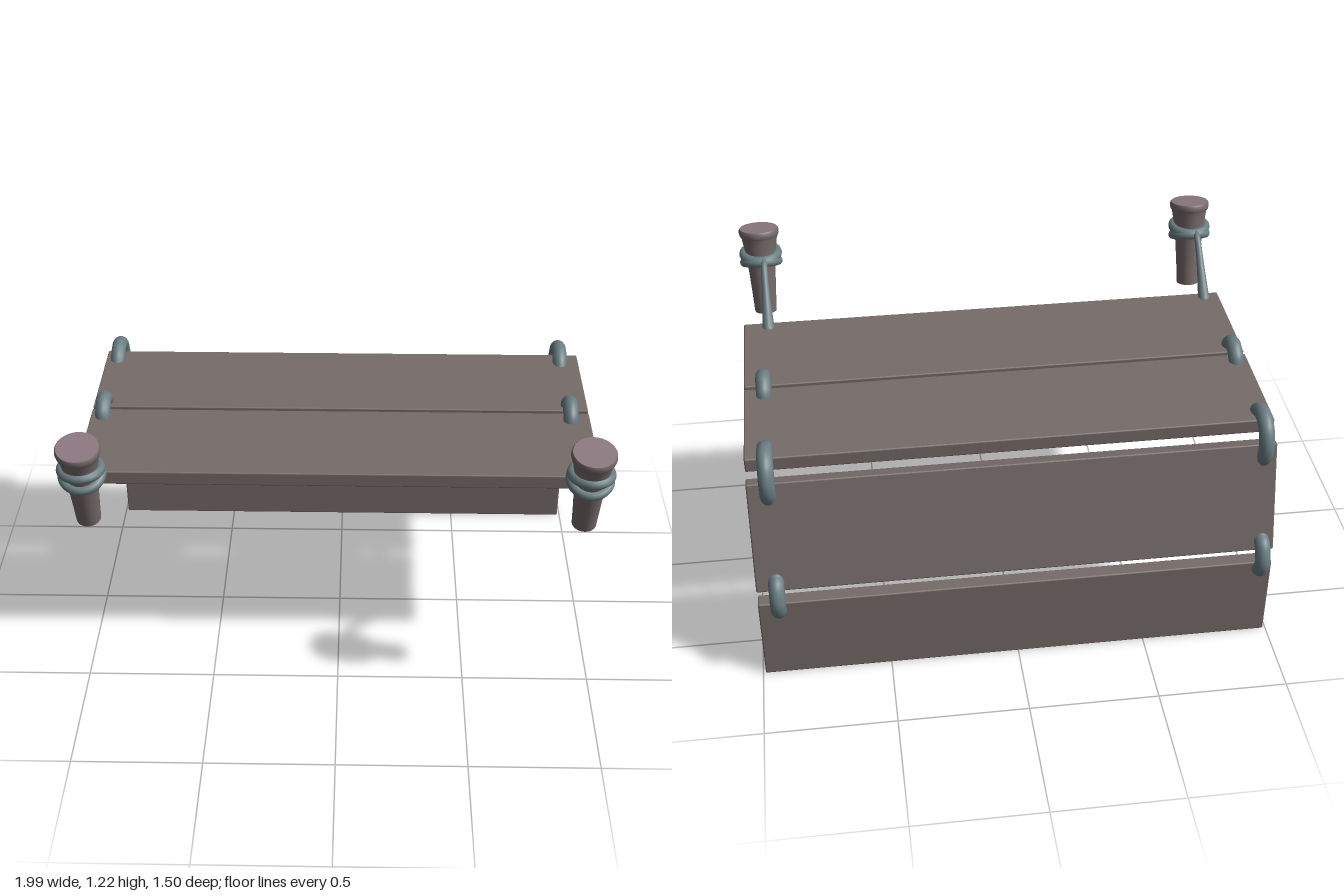
import * as THREE from 'three';
import { RoundedBoxGeometry } from 'three/addons/geometries/RoundedBoxGeometry.js';

const wood = new THREE.MeshStandardMaterial({ color: 0x766b69 });
const stakeWood = new THREE.MeshStandardMaterial({ color: 0x766a6a });
const stakeTop = new THREE.MeshStandardMaterial({ color: 0x8c7880 });
const cord = new THREE.MeshStandardMaterial({ color: 0x6a7d82 });

function add(parent, name, geometry, material) {
  const mesh = new THREE.Mesh(geometry, material);
  mesh.name = name;
  parent.add(mesh);
  return mesh;
}

// Cord along (z, y) points at a fixed x; radiusAt(t) gives its thickness
function makeCord(parent, name, x, points, radiusAt) {
  const curve = new THREE.CatmullRomCurve3(points.map(([z, y]) => new THREE.Vector3(x, y, z)));
  const steps = 32, sides = 14;
  const geo = new THREE.TubeGeometry(curve, steps, 0.02, sides);
  const pos = geo.attributes.position, nor = geo.attributes.normal;
  for (let i = 0; i < pos.count; i++) {
    const d = radiusAt(Math.floor(i / (sides + 1)) / steps) - 0.02;
    pos.setXYZ(i, pos.getX(i) + nor.getX(i) * d, pos.getY(i) + nor.getY(i) * d, pos.getZ(i) + nor.getZ(i) * d);
  }
  const group = new THREE.Group();
  group.name = name;
  add(group, 'cordLength', geo, cord);
  for (const t of [0, 1]) {
    add(group, 'cordEnd', new THREE.SphereGeometry(radiusAt(t), 14, 10), cord).position.copy(curve.getPoint(t));
  }
  parent.add(group);
}

function makeStake(parent, x) {
  const stake = new THREE.Group();
  stake.name = 'stake';
  // Flared peg with a rounded rim
  const profile = [[0.045, 0], [0.049, 0.08], [0.055, 0.18], [0.063, 0.26], [0.073, 0.325],
    [0.079, 0.333], [0.082, 0.345], [0.081, 0.357], [0.077, 0.363]];
  const peg = new THREE.Group();
  peg.name = 'peg';
  add(peg, 'pegBody', new THREE.LatheGeometry(profile.map(p => new THREE.Vector2(...p)), 32), stakeWood);
  const top = add(peg, 'pegTop', new THREE.CircleGeometry(0.077, 32), stakeTop);
  top.rotation.x = -Math.PI / 2;
  top.position.y = 0.363;
  add(peg, 'pegBottom', new THREE.CircleGeometry(0.045, 32), stakeWood).rotation.x = Math.PI / 2;
  peg.position.set(x, 0.85, 0.602);
  peg.rotation.x = 0.2;
  stake.add(peg);

  // Two turns of cord around the peg
  for (const [y, z, tilt] of [[1.1, 0.65, 0], [1.068, 0.637, 0.44]]) {
    const turn = add(stake, 'cordTurn', new THREE.TorusGeometry(0.069, 0.019, 12, 40), cord);
    turn.position.set(x, y, z);
    turn.rotation.x = Math.PI / 2 + tilt;
  }
  // Stay from the peg down to the front plank
  makeCord(stake, 'stayCord', x - 0.013, [[0.575, 1.105], [0.545, 1.095], [0.46, 1.012], [0.365, 0.905]],
    t => 0.013 + 0.012 * t * t);
  parent.add(stake);
}

export function createModel() {
  const model = new THREE.Group();
  model.name = 'hingedPlanks';

  // Planks: name, height, depth, y, z, tilt
  const planks = [
    ['frontPlank', 0.057, 0.45, 0.887, 0.174, 0],
    ['middlePlank', 0.057, 0.447, 0.887, -0.292, 0],
    ['slopingPlank', 0.445, 0.057, 0.628, -0.605, 0.237],
    ['lowerPlank', 0.358, 0.058, 0.179, -0.659, 0],
  ];
  for (const [name, h, d, y, z, tilt] of planks) {
    const plank = add(model, name, new RoundedBoxGeometry(1.98, h, d, 2, 0.006), wood);
    plank.position.set(0, y, z);
    plank.rotation.x = tilt;
  }

  // Cord hinges joining neighbouring planks
  const hinges = [
    ['topHinge', [[0.012, 0.89], [-0.005, 0.928], [-0.055, 0.953], [-0.105, 0.928], [-0.122, 0.89]]],
    ['cornerHinge', [[-0.43, 0.89], [-0.46, 0.923], [-0.515, 0.942], [-0.57, 0.92], [-0.598, 0.868],
      [-0.597, 0.82], [-0.58, 0.785]]],
    ['lowerHinge', [[-0.662, 0.46], [-0.695, 0.445], [-0.719, 0.385], [-0.7, 0.335], [-0.665, 0.318]]],
  ];
  for (const x of [-0.942, 0.913]) {
    for (const [name, points] of hinges) makeCord(model, name, x, points, () => 0.03);
  }

  for (const x of [-0.913, 0.904]) makeStake(model, x);
  return model;
}
